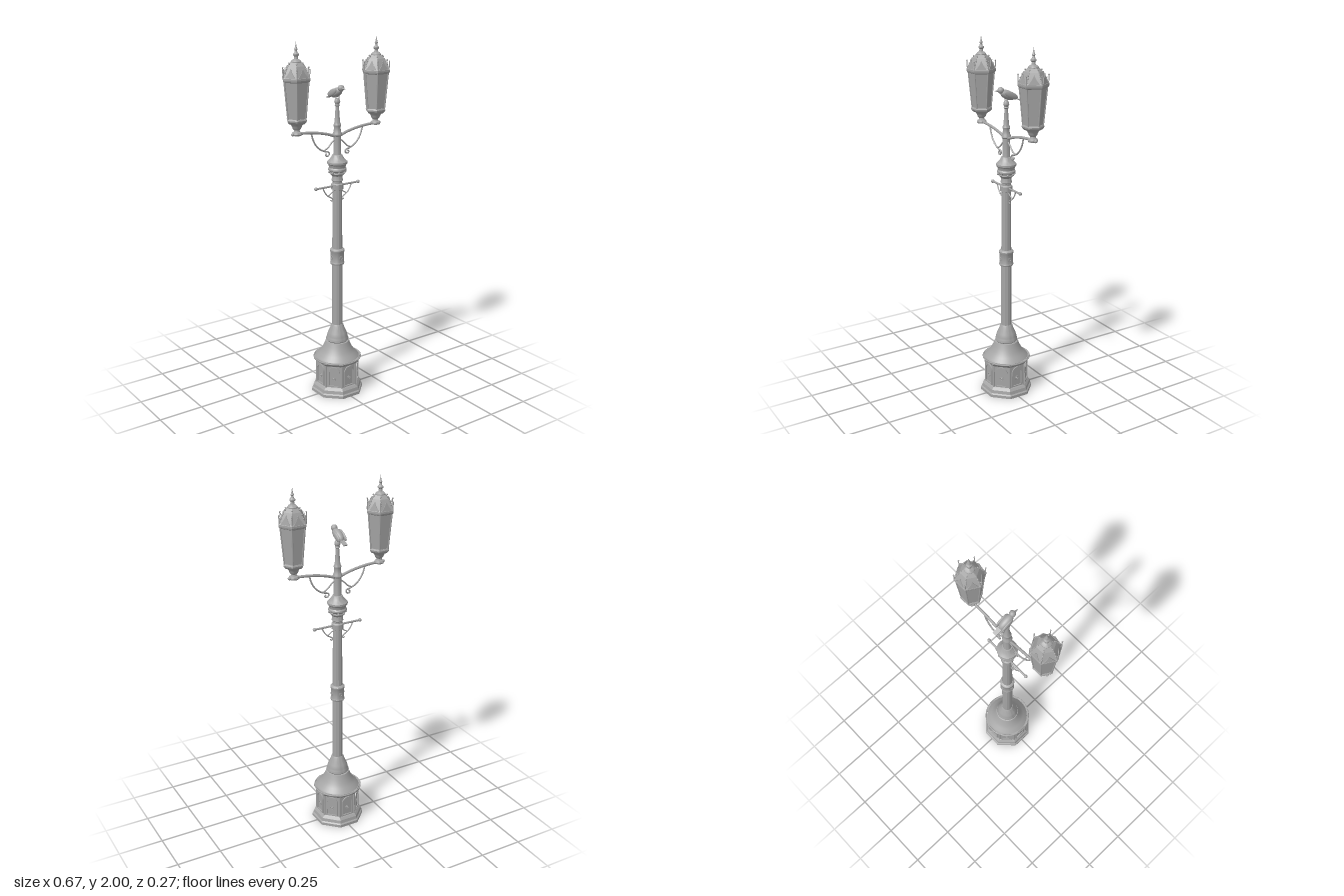
import * as THREE from 'three';
import { toCreasedNormals } from 'three/addons/utils/BufferGeometryUtils.js';

const iron = new THREE.MeshStandardMaterial({ color: 0xa6a6a6, side: THREE.DoubleSide });
iron.name = 'greyIron';

function add(parent, name, geo, x = 0, y = 0, z = 0) {
  const m = new THREE.Mesh(geo, iron);
  m.name = name;
  m.position.set(x, y, z);
  parent.add(m);
  return m;
}
const group = (parent, name) => {
  const g = new THREE.Group();
  g.name = name;
  parent.add(g);
  return g;
};
// Turned solid from [radius, y] pairs listed bottom to top
const turned = (pts, sides = 28, crease = 0.6) =>
  toCreasedNormals(new THREE.LatheGeometry(pts.map(p => new THREE.Vector2(p[0], p[1])), sides), crease);
// Faceted solid whose first corner is turned half a side away from +z
const faceted = (pts, sides) => turned(pts, sides, 0.2).rotateY(Math.PI / sides);
const ball = r => new THREE.SphereGeometry(r, 12, 8);
const tube = (pts, r, seg = 24) => new THREE.TubeGeometry(
  new THREE.CatmullRomCurve3(pts.map(p => new THREE.Vector3(p[0], p[1], p[2] || 0))), seg, r, 7);
function rod(parent, name, a, b, r) {
  const p = new THREE.Vector3(...a), q = new THREE.Vector3(...b);
  const m = add(parent, name, new THREE.CylinderGeometry(r, r, p.distanceTo(q), 6));
  m.position.copy(p).add(q).multiplyScalar(0.5);
  m.quaternion.setFromUnitVectors(new THREE.Vector3(0, 1, 0), q.sub(p).normalize());
}

function archShape(w, y0, y1) {
  const s = new THREE.Shape();
  s.moveTo(-w, y0);
  s.lineTo(w, y0);
  s.lineTo(w, y1 - w);
  s.absarc(0, y1 - w, w, 0, Math.PI);
  s.lineTo(-w, y0);
  return s;
}

function buildPedestal(root) {
  const g = group(root, 'pedestal');
  const k = 1 / Math.cos(Math.PI / 8); // apothem to corner radius
  add(g, 'octagonalBase', faceted([[0, 0], [0.137, 0], [0.137, 0.016], [0.13, 0.022], [0.127, 0.04],
    [0.118, 0.052], [0.113, 0.056], [0.113, 0.185], [0.118, 0.19], [0.126, 0.2], [0.126, 0.21], [0, 0.212]]
    .map(([r, y]) => [r * k, y]), 8));
  const ring = add(g, 'corniceRing', new THREE.TorusGeometry(0.132, 0.004, 6, 40), 0, 0.206, 0);
  ring.rotation.x = Math.PI / 2;
  // Arched panel with a rosette on every side
  const frame = archShape(0.034, 0.06, 0.182);
  frame.holes.push(archShape(0.027, 0.067, 0.175));
  const frameGeo = new THREE.ExtrudeGeometry(frame, { depth: 0.008, bevelEnabled: false, curveSegments: 8 });
  for (let i = 0; i < 8; i++) {
    const side = group(g, 'archedPanel');
    side.rotation.y = i * Math.PI / 4;
    add(side, 'archFrame', frameGeo, 0, 0, 0.111);
    add(side, 'rosetteRing', new THREE.TorusGeometry(0.01, 0.002, 5, 14), 0, 0.112, 0.114);
    add(side, 'rosetteBoss', ball(0.005), 0, 0.112, 0.114);
    const a = Math.PI / 8, r = 0.12;
    rod(g, 'cornerPost', [r * Math.sin(a + side.rotation.y), 0.05, r * Math.cos(a + side.rotation.y)],
      [r * Math.sin(a + side.rotation.y), 0.195, r * Math.cos(a + side.rotation.y)], 0.006);
  }
  add(g, 'bellSkirt', turned([[0.124, 0.208], [0.117, 0.218], [0.1, 0.234], [0.086, 0.255], [0.074, 0.28],
    [0.066, 0.302], [0.058, 0.304], [0.063, 0.31], [0.063, 0.318], [0.059, 0.325], [0.058, 0.335], [0.052, 0.355],
    [0.042, 0.375], [0.036, 0.395], [0.031, 0.404], [0.028, 0.404]], 40));
}

function buildColumn(root) {
  const g = group(root, 'column');
  add(g, 'shaft', faceted([[0.03, 0.39], [0.029, 0.8], [0.025, 1.25]], 12));
  add(g, 'middleCollar', turned([[0.028, 0.762], [0.037, 0.764], [0.04, 0.772], [0.037, 0.779], [0.037, 0.833],
    [0.04, 0.838], [0.04, 0.847], [0.034, 0.854], [0.027, 0.856]]));
  for (let i = 0; i < 4; i++) {
    const s = group(g, 'collarOrnament');
    s.rotation.y = i * Math.PI / 2;
    add(s, 'collarRosette', new THREE.TorusGeometry(0.009, 0.002, 5, 12), 0, 0.806, 0.037);
  }
  add(g, 'capital', turned([[0.025, 1.19], [0.033, 1.194], [0.033, 1.222], [0.026, 1.228], [0.026, 1.238],
    [0.032, 1.243], [0.03, 1.25], [0.028, 1.268], [0.034, 1.274], [0.042, 1.282], [0.04, 1.29], [0.044, 1.297],
    [0.05, 1.3], [0.05, 1.308], [0.045, 1.315], [0.048, 1.33], [0.055, 1.337], [0.055, 1.347], [0.046, 1.355],
    [0.035, 1.368], [0.026, 1.385], [0, 1.387]]));
  for (let i = 0; i < 8; i++) {
    const a = (i + 0.5) * Math.PI / 4;
    add(g, 'capitalBead', ball(0.006), 0.045 * Math.sin(a), 1.29, 0.045 * Math.cos(a));
  }
  add(g, 'upperStem', turned([[0.023, 1.375], [0.021, 1.385], [0.021, 1.485], [0.026, 1.492], [0.024, 1.502],
    [0.019, 1.512], [0.018, 1.535], [0.021, 1.545], [0.015, 1.56], [0.012, 1.6], [0.009, 1.645], [0.014, 1.65],
    [0.011, 1.656], [0.016, 1.667], [0.015, 1.677], [0.009, 1.688], [0, 1.69]], 20));
}

function buildLadderRest(root) {
  const g = group(root, 'ladderRest');
  rod(g, 'crossBar', [-0.138, 1.213, 0], [0.138, 1.213, 0], 0.0055);
  for (const s of [-1, 1]) {
    add(g, 'barEnd', ball(0.01), s * 0.14, 1.213, 0);
    add(g, 'barBracket', tube([[s * 0.094, 1.21], [s * 0.082, 1.185], [s * 0.062, 1.162], [s * 0.042, 1.15],
      [s * 0.03, 1.138], [s * 0.036, 1.13], [s * 0.044, 1.136]], 0.0035));
    add(g, 'bracketCurl', tube([[s * 0.025, 1.185], [s * 0.04, 1.175], [s * 0.06, 1.163]], 0.003, 10));
  }
}

function buildArm(root, s) {
  const g = group(root, s > 0 ? 'leftArm' : 'rightArm');
  add(g, 'armBar', tube([[s * 0.01, 1.483], [s * 0.05, 1.498], [s * 0.1, 1.511], [s * 0.16, 1.521],
    [s * 0.22, 1.526], [s * 0.282, 1.527]], 0.0075));
  add(g, 'armTip', ball(0.009), s * 0.282, 1.527, 0);
  add(g, 'scrollBrace', tube([[s * 0.167, 1.519], [s * 0.156, 1.483], [s * 0.137, 1.45], [s * 0.108, 1.424],
    [s * 0.08, 1.411], [s * 0.056, 1.404], [s * 0.054, 1.391], [s * 0.066, 1.383], [s * 0.077, 1.391],
    [s * 0.07, 1.399]], 0.0045, 40));
  add(g, 'innerBrace', tube([[s * 0.015, 1.47], [s * 0.04, 1.45], [s * 0.062, 1.428], [s * 0.09, 1.414]], 0.004, 14));
}

function buildLantern(root, s) {
  const g = group(root, s > 0 ? 'leftLantern' : 'rightLantern');
  g.position.x = s * 0.256;
  add(g, 'lanternCup', turned([[0, 1.518], [0.024, 1.52], [0.027, 1.527], [0.024, 1.535], [0.016, 1.54],
    [0.014, 1.548], [0.022, 1.556], [0.025, 1.565], [0.03, 1.575], [0.04, 1.585], [0, 1.587]], 20));
  add(g, 'lowerRim', faceted([[0.03, 1.578], [0.046, 1.583], [0.056, 1.594], [0.058, 1.602], [0.054, 1.61], [0, 1.61]], 6));
  add(g, 'glassPanes', faceted([[0.051, 1.607], [0.07, 1.805]], 6));
  add(g, 'upperRim', faceted([[0.07, 1.798], [0.077, 1.802], [0.08, 1.81], [0.08, 1.82], [0.074, 1.826], [0, 1.828]], 6));
  add(g, 'roof', faceted([[0.074, 1.824], [0.064, 1.848], [0.048, 1.878], [0.03, 1.896], [0, 1.9]], 6));
  add(g, 'roofFinial', turned([[0.027, 1.888], [0.027, 1.9], [0.02, 1.908], [0.011, 1.913], [0.009, 1.925],
    [0.015, 1.931], [0.015, 1.938], [0.008, 1.945], [0.006, 1.955], [0.009, 1.961], [0.006, 1.967],
    [0.003, 1.98], [0, 2]], 16));
  const gable = new THREE.Shape();
  gable.moveTo(-0.037, 0);
  gable.lineTo(0.037, 0);
  gable.quadraticCurveTo(0.012, 0.022, 0, 0.055);
  gable.quadraticCurveTo(-0.012, 0.022, -0.037, 0);
  const gableGeo = new THREE.ExtrudeGeometry(gable, { depth: 0.003, bevelEnabled: false, curveSegments: 5 });
  for (let i = 0; i < 6; i++) {
    const a = Math.PI / 6 + i * Math.PI / 3, c = Math.sin(a), d = Math.cos(a);
    rod(g, 'cornerFrame', [0.052 * c, 1.607, 0.052 * d], [0.071 * c, 1.805, 0.071 * d], 0.004);
    rod(g, 'cornerSpike', [0.076 * c, 1.815, 0.076 * d], [0.077 * c, 1.862, 0.077 * d], 0.0025);
    add(g, 'spikeTip', ball(0.004), 0.077 * c, 1.864, 0.077 * d);
    for (const [r, y] of [[0.065, 1.849], [0.056, 1.866], [0.041, 1.889]])
      add(g, 'roofStud', ball(0.0042), r * c, y, r * d);
    rod(g, 'roofRib', [0.074 * c, 1.825, 0.074 * d], [0.048 * c, 1.879, 0.048 * d], 0.0025);
    const face = group(g, 'roofGable');
    face.rotation.y = i * Math.PI / 3;
    add(face, 'gablePlate', gableGeo, 0, 1.815, 0.066).rotation.x = -0.16;
  }
}

function buildBird(root) {
  const g = group(root, 'bird');
  const body = add(g, 'birdBody', new THREE.SphereGeometry(1, 18, 12), 0, 1.717, -0.008);
  body.scale.set(0.024, 0.024, 0.048);
  body.rotation.x = -0.45;
  add(g, 'birdHead', ball(0.0175), 0, 1.745, 0.034);
  const beak = add(g, 'beak', new THREE.ConeGeometry(0.007, 0.024, 8), 0, 1.744, 0.06);
  beak.rotation.x = Math.PI / 2;
  const tail = add(g, 'birdTail', new THREE.BoxGeometry(0.023, 0.006, 0.05), 0, 1.692, -0.062);
  tail.rotation.x = -0.4;
  for (const s of [-1, 1]) {
    const wing = add(g, 'birdWing', new THREE.SphereGeometry(1, 12, 8), s * 0.02, 1.717, -0.02);
    wing.scale.set(0.008, 0.017, 0.044);
    wing.rotation.x = -0.45;
    rod(g, 'birdLeg', [s * 0.009, 1.683, 0.002], [s * 0.01, 1.705, 0], 0.0025);
  }
}

export function createModel() {
  const root = new THREE.Group();
  root.name = 'streetLamp';
  buildPedestal(root);
  buildColumn(root);
  buildLadderRest(root);
  for (const s of [-1, 1]) {
    buildArm(root, s);
    buildLantern(root, s);
  }
  buildBird(root);
  return root;
}
